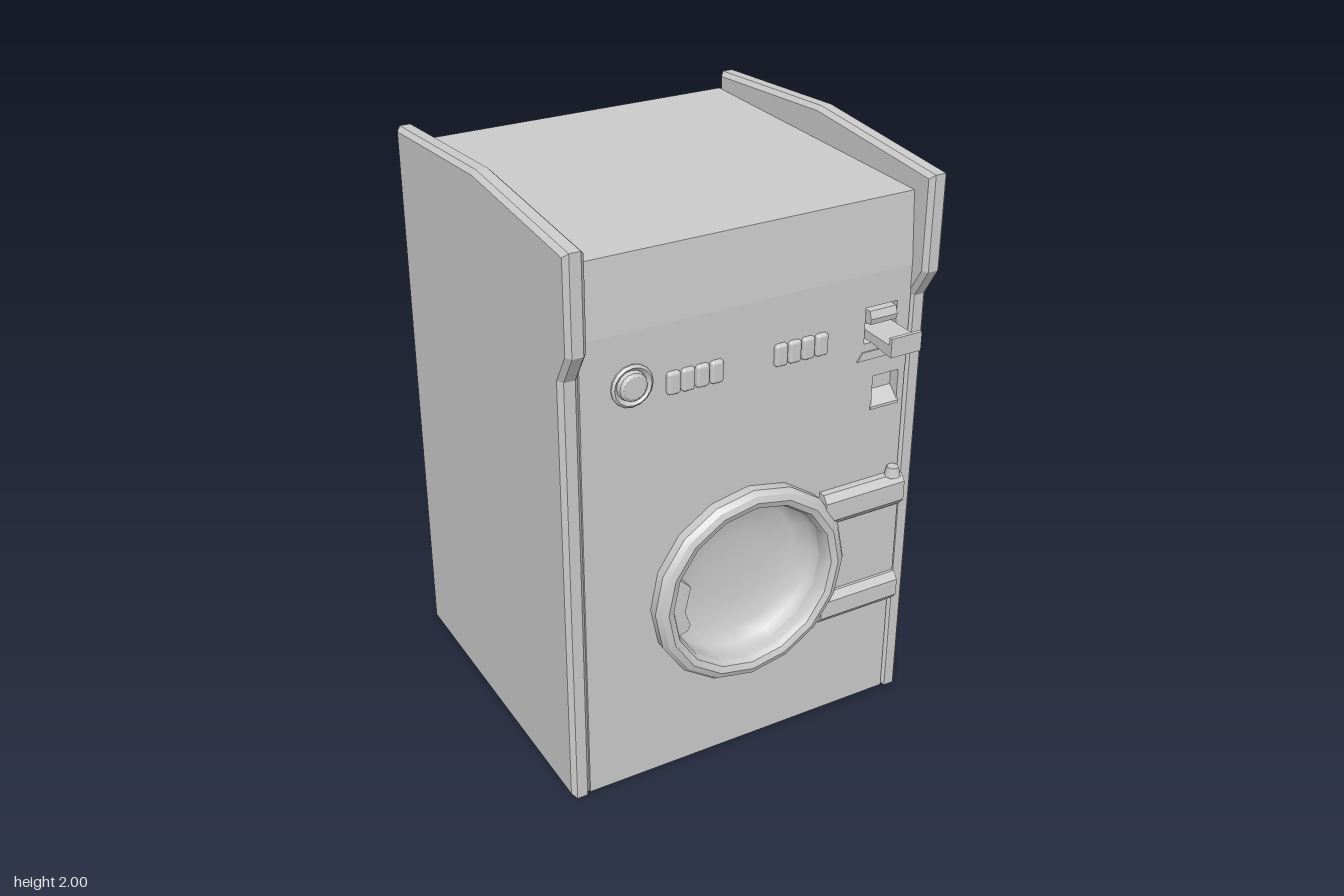
import * as THREE from 'three';
import { toCreasedNormals } from 'three/addons/utils/BufferGeometryUtils.js';
import { RoundedBoxGeometry } from 'three/addons/geometries/RoundedBoxGeometry.js';

const grey = new THREE.MeshStandardMaterial({ color: 0xcccccc, side: THREE.DoubleSide });

const poly = (pts) => new THREE.Shape(pts.map(([x, y]) => new THREE.Vector2(x, y)));
const rect = (x0, x1, y0, y1) => poly([[x0, y0], [x1, y0], [x1, y1], [x0, y1]]);

export function createModel() {
  const group = new THREE.Group();
  const add = (name, geometry) => {
    const mesh = new THREE.Mesh(geometry, grey);
    mesh.name = name;
    group.add(mesh);
    return mesh;
  };
  // Box given by its limits
  const box = (name, x0, x1, y0, y1, z0, z1) =>
    add(name, new THREE.BoxGeometry(x1 - x0, y1 - y0, z1 - z0)
      .translate((x0 + x1) / 2, (y0 + y1) / 2, (z0 + z1) / 2));
  // Flat outline in x, y pushed out along z
  const plate = (name, shape, z0, z1, curveSegments = 16) =>
    add(name, new THREE.ExtrudeGeometry(shape, { depth: z1 - z0, bevelEnabled: false, curveSegments })
      .translate(0, 0, z0));
  // Outline in z, y pushed out along x
  const profile = (name, pts, x0, x1, bevel = 0) =>
    add(name, new THREE.ExtrudeGeometry(poly(pts), {
      depth: x1 - x0 - 2 * bevel, bevelEnabled: bevel > 0, bevelSize: bevel,
      bevelThickness: bevel, bevelOffset: -bevel, bevelSegments: 1,
    }).rotateY(-Math.PI / 2).translate(x1 - bevel, 0, 0));
  // Turned part facing +z
  const turned = (name, pts, sides, x, y, crease) =>
    add(name, toCreasedNormals(
      new THREE.LatheGeometry(pts.map(([r, z]) => new THREE.Vector2(r, z)), sides)
        .rotateX(Math.PI / 2), crease).translate(x, y, 0));

  // Side panels with a stepped front and a peaked top
  const side = [[-0.66, 0], [0.53, 0], [0.53, 1.54], [0.59, 1.64], [0.59, 1.96], [-0.03, 2], [-0.66, 1.95]];
  profile('leftSidePanel', side, 0.583, 0.65, 0.015);
  profile('rightSidePanel', side, -0.65, -0.583, 0.015);

  // Cabinet: closed upper housing, floor, open lower back
  profile('topHousing', [[-0.66, 1.65], [0.528, 1.65], [0.51, 1.89], [-0.66, 1.89]], -0.585, 0.585);
  box('controlHousing', -0.585, 0.585, 1.3, 1.65, -0.66, 0.49);
  box('floor', -0.585, 0.585, 0.004, 0.014, -0.66, 0.525);

  // Lower front with openings for the door and the coin return
  const front = rect(-0.585, 0.585, 0.004, 1.302);
  const doorY = 0.655;
  front.holes.push(new THREE.Path().absarc(0, doorY, 0.32, 0, Math.PI * 2, true));
  front.holes.push(rect(0.46, 0.56, 1.17, 1.285));
  plate('frontPanel', front, 0.505, 0.525);
  box('coinReturnBack', 0.45, 0.57, 1.16, 1.295, 0.47, 0.485);
  profile('coinReturnScoop', [[0.485, 1.2], [0.53, 1.165], [0.53, 1.175], [0.485, 1.215]], 0.455, 0.565);
  for (const x of [0.45, 0.56]) box('coinReturnCheek', x, x + 0.01, 1.16, 1.295, 0.485, 0.507);

  // Control panel with the coin slide opening
  const control = rect(-0.585, 0.585, 1.302, 1.65);
  control.holes.push(rect(0.415, 0.535, 1.41, 1.535));
  plate('controlPanel', control, 0.49, 0.527);

  // Coin slide: tray with an upturned lip, block above and sill below
  profile('coinTray', [[0.49, 1.425], [0.555, 1.43], [0.665, 1.42], [0.665, 1.485],
    [0.652, 1.485], [0.652, 1.46], [0.49, 1.46]], 0.418, 0.532);
  profile('coinSlot', [[0.49, 1.48], [0.54, 1.48], [0.545, 1.5], [0.535, 1.525], [0.49, 1.525]], 0.425, 0.525);
  plate('coinSill', poly([[0.39, 1.353], [0.56, 1.353], [0.535, 1.382], [0.41, 1.382]]), 0.52, 0.532);

  // Program dial
  turned('dialRim', [[0.07, 0.52], [0.07, 0.532], [0.062, 0.539], [0.054, 0.532], [0.05, 0.528]],
    16, -0.415, 1.475, 0.6);
  turned('dialKnob', [[0.05, 0.525], [0.046, 0.542], [0.036, 0.549], [0, 0.549]], 16, -0.415, 1.475, 0.6);

  // Two rows of push buttons
  for (const start of [-0.277, 0.1])
    for (let i = 0; i < 4; i++)
      add('pushButton', new RoundedBoxGeometry(0.045, 0.076, 0.026, 2, 0.011)
        .translate(start + i * 0.0495, 1.452, 0.53));

  // Door ring and its recessed bowl
  turned('doorRing', [[0.355, 0.52], [0.357, 0.56], [0.343, 0.578], [0.322, 0.586],
    [0.3, 0.578], [0.29, 0.56], [0.29, 0.52]], 16, 0, doorY, 0.5);
  turned('doorBowl', [[0.32, 0.522], [0.29, 0.522], [0.283, 0.48], [0.24, 0.45], [0.13, 0.435], [0, 0.43]],
    16, 0, doorY, 1.2);

  // Door latch on the ring's inner edge
  plate('doorLatch', poly([[-0.3, 0.55], [-0.245, 0.565], [-0.235, 0.585], [-0.255, 0.64],
    [-0.235, 0.73], [-0.27, 0.765], [-0.3, 0.765]]), 0.53, 0.572);

  // Hinge: two chamfered arms, the web between them and the pin head
  const arm = (name, y0, y1) => profile(name, [[0.52, y0], [0.55, y0], [0.57, y0 + 0.025],
    [0.57, y1 - 0.025], [0.55, y1], [0.52, y1]], 0.275, 0.586);
  arm('upperHingeArm', 0.785, 0.905);
  arm('lowerHingeArm', 0.4, 0.512);
  box('hingeWeb', 0.325, 0.586, 0.5, 0.8, 0.52, 0.54);
  add('hingePin', new THREE.CylinderGeometry(0.02, 0.028, 0.034, 8).translate(0.55, 0.92, 0.547));

  return group;
}
